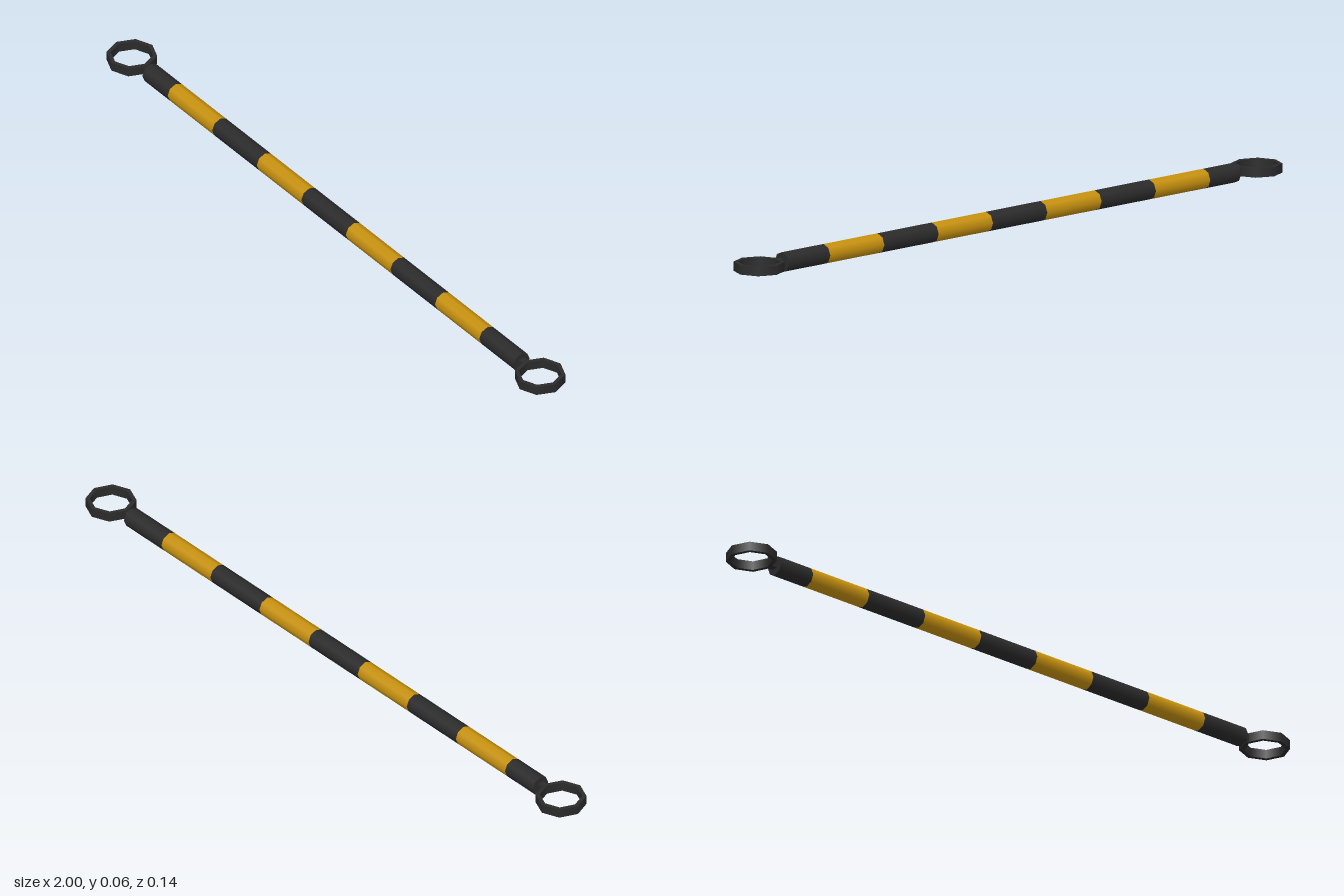
import * as THREE from 'three';

const SIDES = 8;
const BAR_RADIUS = 0.028;
const MID_Y = 0.028;

export function createModel() {
  const black = new THREE.MeshStandardMaterial({ color: 0x2b2b2b, side: THREE.DoubleSide });
  black.name = 'black';
  const yellow = new THREE.MeshStandardMaterial({ color: 0xc8920f });
  yellow.name = 'yellow';

  const model = new THREE.Group();
  model.name = 'stripedTowBar';

  function add(parent, name, geometry, material) {
    const mesh = new THREE.Mesh(geometry, material);
    mesh.name = name;
    parent.add(mesh);
    return mesh;
  }

  // Octagonal bar, split into alternating black and yellow bands
  const cuts = [-0.845, -0.73, -0.527, -0.324, -0.121, 0.082, 0.285, 0.488, 0.69, 0.845];
  for (let i = 0; i < cuts.length - 1; i++) {
    const length = cuts[i + 1] - cuts[i];
    const isEnd = i === 0 || i === cuts.length - 2;
    const geometry = new THREE.CylinderGeometry(BAR_RADIUS, BAR_RADIUS, length, SIDES, 1, !isEnd);
    geometry.rotateZ(Math.PI / 2);
    const striped = i % 2 === 1;
    const band = add(model, striped ? 'yellowBand' : 'blackBand', geometry, striped ? yellow : black);
    band.position.set((cuts[i] + cuts[i + 1]) / 2, MID_Y, 0);
  }

  // A flat eye ring and its short neck at each end
  const outer = 0.07, inner = 0.058, height = 0.026;
  for (const side of [-1, 1]) {
    const eye = new THREE.Group();
    eye.name = side > 0 ? 'leftEye' : 'rightEye';
    eye.position.set(side * 0.93, MID_Y + 0.001, 0);
    for (const [name, radius] of [['ringOuterWall', outer], ['ringInnerWall', inner]]) {
      add(eye, name, new THREE.CylinderGeometry(radius, radius, height, SIDES, 1, true), black);
    }
    for (const end of [-1, 1]) {
      const face = new THREE.RingGeometry(inner, outer, SIDES).rotateX(-end * Math.PI / 2);
      add(eye, 'ringFace', face, black).position.y = end * height / 2;
    }
    const neck = add(eye, 'neck', new THREE.BoxGeometry(0.026, 0.02, 0.02), black);
    neck.position.x = -side * 0.077;
    model.add(eye);
  }

  return model;
}
